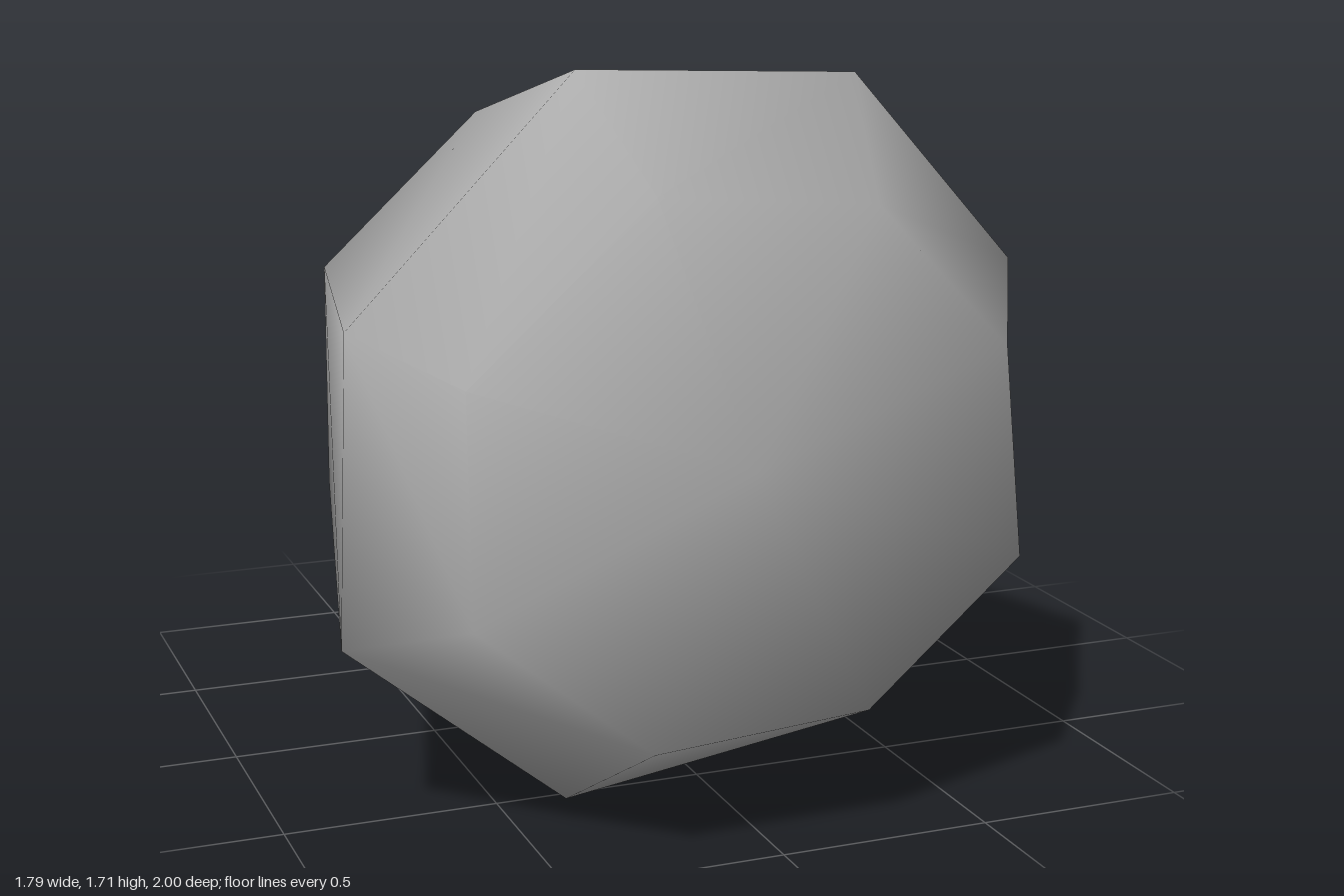
import * as THREE from 'three';

const SIDES = 8;

// Eight points round a centre: index 0 inner side, 2 top, 4 outer side, 6 bottom
function tubeRing(c, side, up, diagonal) {
  return Array.from({ length: SIDES }, (_, i) => {
    const a = (i / SIDES) * Math.PI * 2;
    const k = i % 2 ? diagonal / Math.SQRT1_2 : 1;
    return c.map((v, n) => v + k * (side[n] * Math.cos(a) + up[n] * Math.sin(a)));
  });
}

const mid = (a, b) => a.map((v, n) => (v + b[n]) / 2);

function toGeometry(points, index) {
  const g = new THREE.BufferGeometry();
  g.setAttribute('position', new THREE.Float32BufferAttribute(points.flat(), 3));
  g.setIndex(index);
  g.computeVertexNormals();
  return g;
}

// Skin over the rings, with a cap on the first one
function loft(rings, capCentre) {
  const points = [...rings.flat(), capCentre];
  const index = [];
  for (let i = 0; i < SIDES; i++) {
    const j = (i + 1) % SIDES;
    index.push(points.length - 1, i, j);
    for (let k = 0; k < rings.length - 1; k++) {
      const a = k * SIDES + i, b = k * SIDES + j;
      index.push(a, a + SIDES, b, b, a + SIDES, b + SIDES);
    }
  }
  return toGeometry(points, index);
}

export function createModel() {
  const group = new THREE.Group();
  const grey = new THREE.MeshStandardMaterial({ color: 0xb0b0b0, side: THREE.DoubleSide });
  grey.name = 'plain grey';

  // Body cross-sections from the front face to the shoulder
  const face = [
    [0.57, 0.62, 0.99], [0.52, 1.1, 0.99], [0.2, 1.43, 0.99], [-0.3, 1.47, 0.99],
    [-0.71, 1.1, 0.985], [-0.7, 0.59, 0.985], [-0.3, 0.27, 0.99], [0.2, 0.31, 1.0],
  ];
  const belly = [
    [0.83, 0.56, 0.46], [0.76, 1.21, 0.56], [0.29, 1.675, 0.68], [-0.39, 1.71, 0.75],
    [-0.9, 1.19, 0.76], [-0.89, 0.46, 0.63], [-0.34, 0, 0.53], [0.325, 0.075, 0.45],
  ];
  const shoulder = [
    [0.56, 0.66, -0.42], [0.53, 1.15, -0.36], [0.2, 1.49, -0.2], [-0.32, 1.52, -0.165],
    [-0.71, 1.16, -0.16], [-0.69, 0.6, -0.25], [-0.32, 0.28, -0.33], [0.2, 0.31, -0.42],
  ];

  // Narrow neck that turns sideways at the elbow
  const neck = tubeRing([0.08, 0.72, -0.79], [0.115, 0, 0.08], [0, 0.14, 0], 0.62);
  const elbow = tubeRing([0.31, 0.705, -0.875], [0.02, 0, 0.125], [0.04, 0.18, 0.02], 0.54);

  // Five-cornered flared mouth
  const top = [0.89, 0.915, -0.44], back = [0.8, 0.59, -0.66], bottom = [0.56, 0.16, -0.49];
  const lowFront = [0.68, 0.37, -0.3], front = [0.8, 0.61, -0.23];
  const mouth = [
    front, mid(front, top), top, mid(top, back),
    back, mid(back, bottom), bottom, lowFront,
  ];

  const body = new THREE.Mesh(
    loft([face, belly, shoulder, neck, elbow, mouth], [-0.07, 0.87, 0.99]), grey);
  body.name = 'bodyAndHorn';
  group.add(body);

  // Hollow inside of the horn
  const hollowIndex = [];
  for (let i = 0; i < SIDES; i++) hollowIndex.push(SIDES, (i + 1) % SIDES, i);
  const hollow = new THREE.Mesh(toGeometry([...mouth, [0.6, 0.65, -0.52]], hollowIndex), grey);
  hollow.name = 'hornHollow';
  group.add(hollow);

  return group;
}
